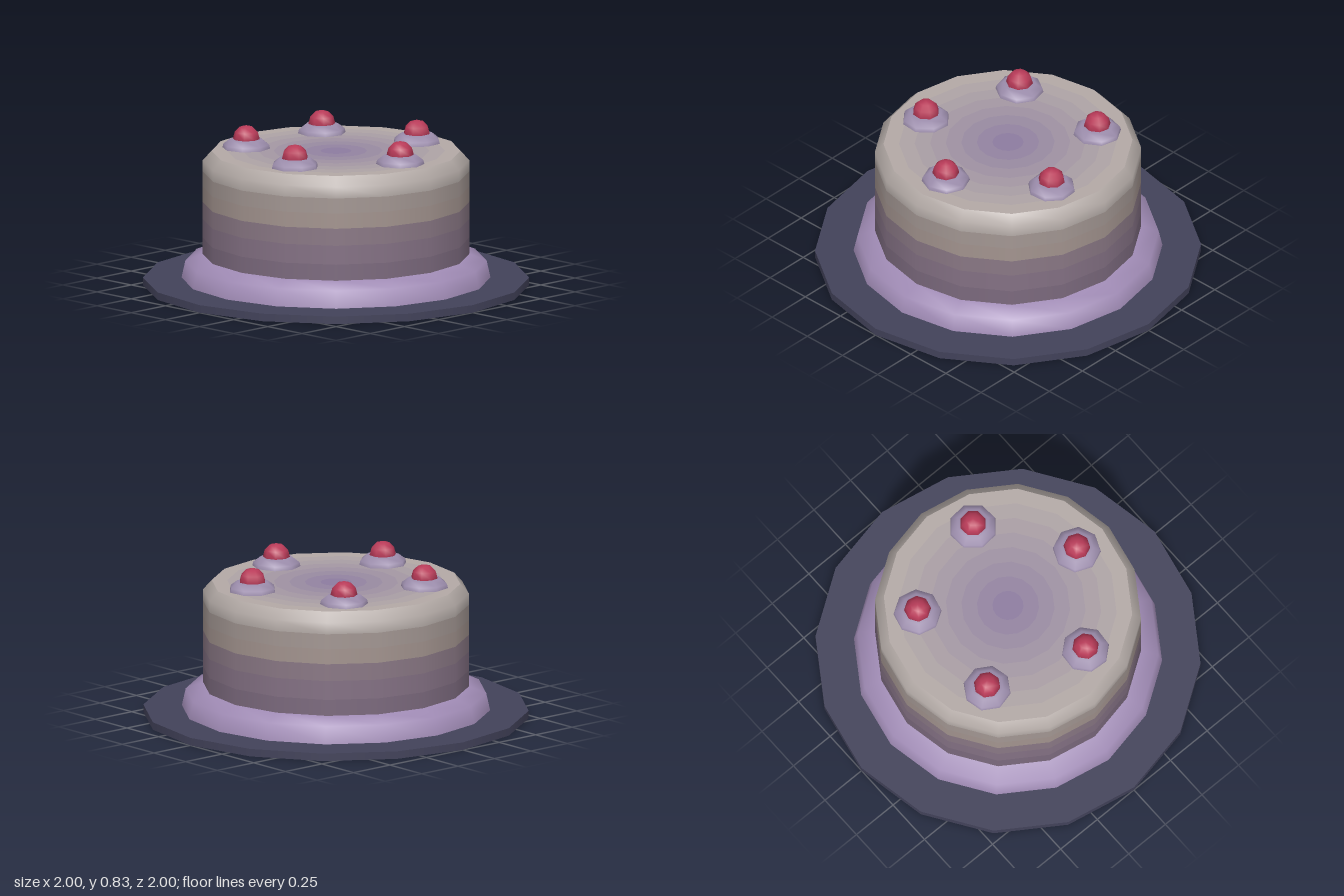
import * as THREE from 'three';

const SIDES = 16;

function mesh(name, geometry, color) {
  const m = new THREE.Mesh(geometry, new THREE.MeshStandardMaterial({ color }));
  m.name = name;
  return m;
}

// Revolved surface from [radius, height] pairs, listed bottom to top
function lathe(name, pairs, color, sides = SIDES) {
  const points = pairs.map(([r, y]) => new THREE.Vector2(r, y));
  return mesh(name, new THREE.LatheGeometry(points, sides), color);
}

export function createModel() {
  const cake = new THREE.Group();
  cake.name = 'cake';

  // Thin dark plate
  const plate = mesh('plate', new THREE.CylinderGeometry(1, 1, 0.04, SIDES), 0x42425a);
  plate.position.y = 0.02;
  cake.add(plate);

  // Icing border around the foot of the cake
  cake.add(lathe('baseIcing', [[0.8, 0.04], [0.78, 0.13], [0.69, 0.165], [0.66, 0.165]], 0xa08bb5));

  // Sponge wall: darker at the foot, with a paler filling band
  const wall = [
    ['lowerSponge', 0.15, 0.25, 0x7c6a7e],
    ['middleSponge', 0.25, 0.35, 0x847184],
    ['upperSponge', 0.35, 0.44, 0x8a7885],
    ['fillingBand', 0.44, 0.52, 0xa3948f],
    ['sideIcing', 0.52, 0.6, 0xa39793],
  ];
  for (const [name, y0, y1, color] of wall) {
    cake.add(lathe(name, [[0.69, y0], [0.69, y1]], color));
  }
  cake.add(lathe('icingRim', [[0.69, 0.6], [0.69, 0.66], [0.645, 0.71]], 0xb3aaa6));

  // Top icing: rings fading from a purple centre to a pale edge
  const centre = new THREE.Color(0x8d7ca0), edge = new THREE.Color(0xb3a9a6);
  const rings = 8;
  for (let i = 0; i < rings; i++) {
    const color = centre.clone().lerp(edge, i / (rings - 1));
    const inner = 0.645 * i / rings, outer = 0.645 * (i + 1) / rings;
    cake.add(lathe('topIcing' + (i + 1), [[outer, 0.71], [inner, 0.71]], color));
  }

  // Five cream dollops, each with a cherry
  for (let i = 0; i < 5; i++) {
    const holder = new THREE.Group();
    holder.name = 'topping' + (i + 1);
    const dollop = lathe('creamDollop', [[0.125, 0], [0.12, 0.02], [0.085, 0.047], [0, 0.05]], 0x9b8cab, 8);
    const cherry = mesh('cherry', new THREE.SphereGeometry(0.07, 8, 6), 0xb83a58);
    cherry.position.y = 0.05;
    holder.add(dollop, cherry);
    const a = i * Math.PI * 2 / 5;
    holder.position.set(0.47 * Math.cos(a), 0.71, -0.47 * Math.sin(a));
    holder.rotation.y = a;
    cake.add(holder);
  }
  return cake;
}
